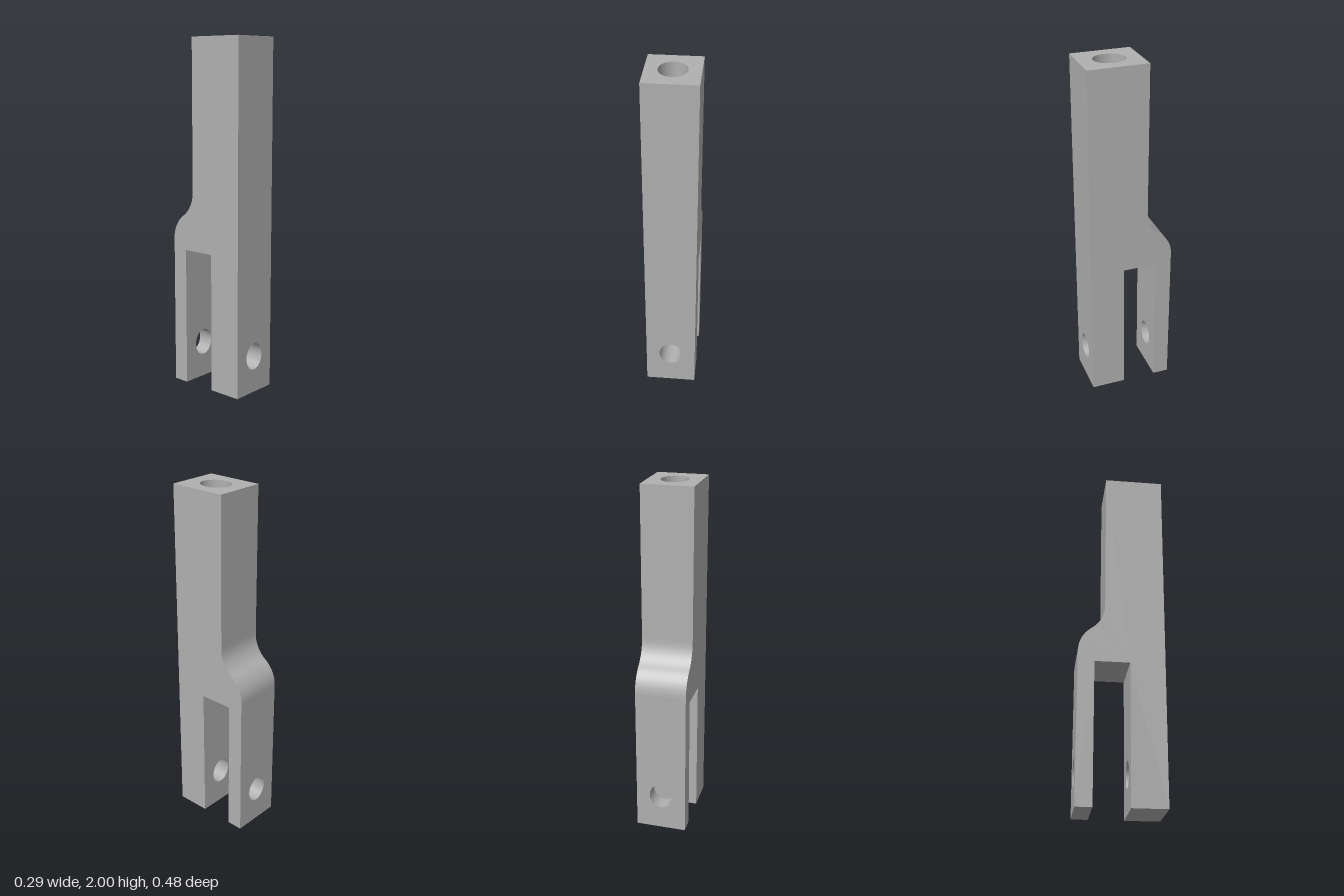
import * as THREE from 'three';

const W = 0.146;                       // half width
const FRONT = 0.242, BACK = -0.242;    // outer leg faces
const SHANK_BACK = -0.094;             // rear face of the upper shank
const SLOT_FRONT = 0.046, SLOT_BACK = -0.15, SLOT_TOP = 0.8;
const CURVE_LOW = 0.86, CURVE_HIGH = 1.14;
const PIN = { y: 0.213, rx: 0.067, ry: 0.077 };
const SOCKET = { z: 0.073, rx: 0.077, rz: 0.089, floor: 1.2 };

// S-shaped shoulder from shank to rear leg, as (z, y) points
function shoulderPoints() {
  const v = (z, y) => new THREE.Vector2(z, y);
  const upper = new THREE.CubicBezierCurve(v(SHANK_BACK, CURVE_HIGH), v(SHANK_BACK, 1.08), v(-0.125, 1.03), v(-0.168, 1));
  const lower = new THREE.CubicBezierCurve(v(-0.168, 1), v(-0.211, 0.97), v(BACK, 0.92), v(BACK, CURVE_LOW));
  return [...upper.getPoints(12), ...lower.getPoints(12).slice(1)];
}

// Flat rectangle across the full width, with an optional elliptical hole
function plate(a, b, hole) {
  const s = new THREE.Shape();
  s.moveTo(-W, a).lineTo(W, a).lineTo(W, b).lineTo(-W, b).closePath();
  if (hole) s.holes.push(new THREE.Path().absellipse(0, hole.c, hole.rx, hole.ry, 0, Math.PI * 2, true));
  return new THREE.ShapeGeometry(s, 24);
}

const facingFront = (y0, y1, z, hole) => plate(y0, y1, hole).translate(0, 0, z);
const facingBack = (y0, y1, z, hole) => plate(y0, y1, hole).rotateY(Math.PI).translate(0, 0, z);
const facingDown = (z0, z1, y) => plate(z0, z1).rotateX(Math.PI / 2).translate(0, y, 0);

// Inward-facing tube along y, mirrored so that its inside is visible
function bore(rx, rz, length) {
  const g = new THREE.CylinderGeometry(1, 1, length, 48, 1, true).scale(-rx, 1, rz);
  g.computeVertexNormals();
  return g;
}

// Side profile on the +x (s = 1) or -x (s = -1) side
function sideFace(s, shoulder) {
  const outline = [
    [FRONT, 0], [FRONT, 2], [SHANK_BACK, 2], ...shoulder.map(p => [p.x, p.y]),
    [BACK, 0], [SLOT_BACK, 0], [SLOT_BACK, SLOT_TOP], [SLOT_FRONT, SLOT_TOP], [SLOT_FRONT, 0],
  ].map(([z, y]) => new THREE.Vector2(-s * z, y));
  return new THREE.ShapeGeometry(new THREE.Shape(outline)).rotateY(s * Math.PI / 2).translate(s * W, 0, 0);
}

// Smooth strip following the shoulder curve
function shoulderSurface(points) {
  const g = new THREE.PlaneGeometry(2 * W, 1, 1, points.length - 1);
  const pos = g.attributes.position;
  for (let i = 0; i < pos.count; i++) {
    const p = points[Math.floor(i / 2)];
    pos.setXYZ(i, i % 2 ? -W : W, p.y, p.x);
  }
  g.computeVertexNormals();
  return g;
}

export function createModel() {
  const model = new THREE.Group();
  model.name = 'clevisRod';
  const metal = new THREE.MeshStandardMaterial({ color: 0xb0b0b0 });
  metal.name = 'grey metal';
  const add = (name, geometry) => {
    const mesh = new THREE.Mesh(geometry, metal);
    mesh.name = name;
    model.add(mesh);
  };
  const pinHole = { c: PIN.y, rx: PIN.rx, ry: PIN.ry };
  const shoulder = shoulderPoints();

  // Outer faces
  add('leftSide', sideFace(1, shoulder));
  add('rightSide', sideFace(-1, shoulder));
  add('frontFace', facingFront(0, 2, FRONT, pinHole));
  add('shankBack', facingBack(CURVE_HIGH, 2, SHANK_BACK));
  add('shoulder', shoulderSurface(shoulder));
  add('rearLegBack', facingBack(0, CURVE_LOW, BACK, pinHole));
  add('topFace', plate(-FRONT, -SHANK_BACK, { c: -SOCKET.z, rx: SOCKET.rx, ry: SOCKET.rz })
    .rotateX(-Math.PI / 2).translate(0, 2, 0));

  // Fork slot and leg ends
  add('frontLegInside', facingBack(0, SLOT_TOP, SLOT_FRONT, pinHole));
  add('rearLegInside', facingFront(0, SLOT_TOP, SLOT_BACK, pinHole));
  add('slotCeiling', facingDown(SLOT_BACK, SLOT_FRONT, SLOT_TOP));
  add('frontLegEnd', facingDown(SLOT_FRONT, FRONT, 0));
  add('rearLegEnd', facingDown(BACK, SLOT_BACK, 0));

  // Pin holes through both legs
  for (const [name, z0, z1] of [['frontPinHole', SLOT_FRONT, FRONT], ['rearPinHole', BACK, SLOT_BACK]]) {
    add(name, bore(PIN.rx, PIN.ry, z1 - z0).rotateX(Math.PI / 2).translate(0, PIN.y, (z0 + z1) / 2));
  }

  // Blind socket in the top
  add('socketWall', bore(SOCKET.rx, SOCKET.rz, 2 - SOCKET.floor).translate(0, (2 + SOCKET.floor) / 2, SOCKET.z));
  add('socketFloor', new THREE.CircleGeometry(1, 48).rotateX(-Math.PI / 2)
    .scale(SOCKET.rx, 1, SOCKET.rz).translate(0, SOCKET.floor, SOCKET.z));

  return model;
}
